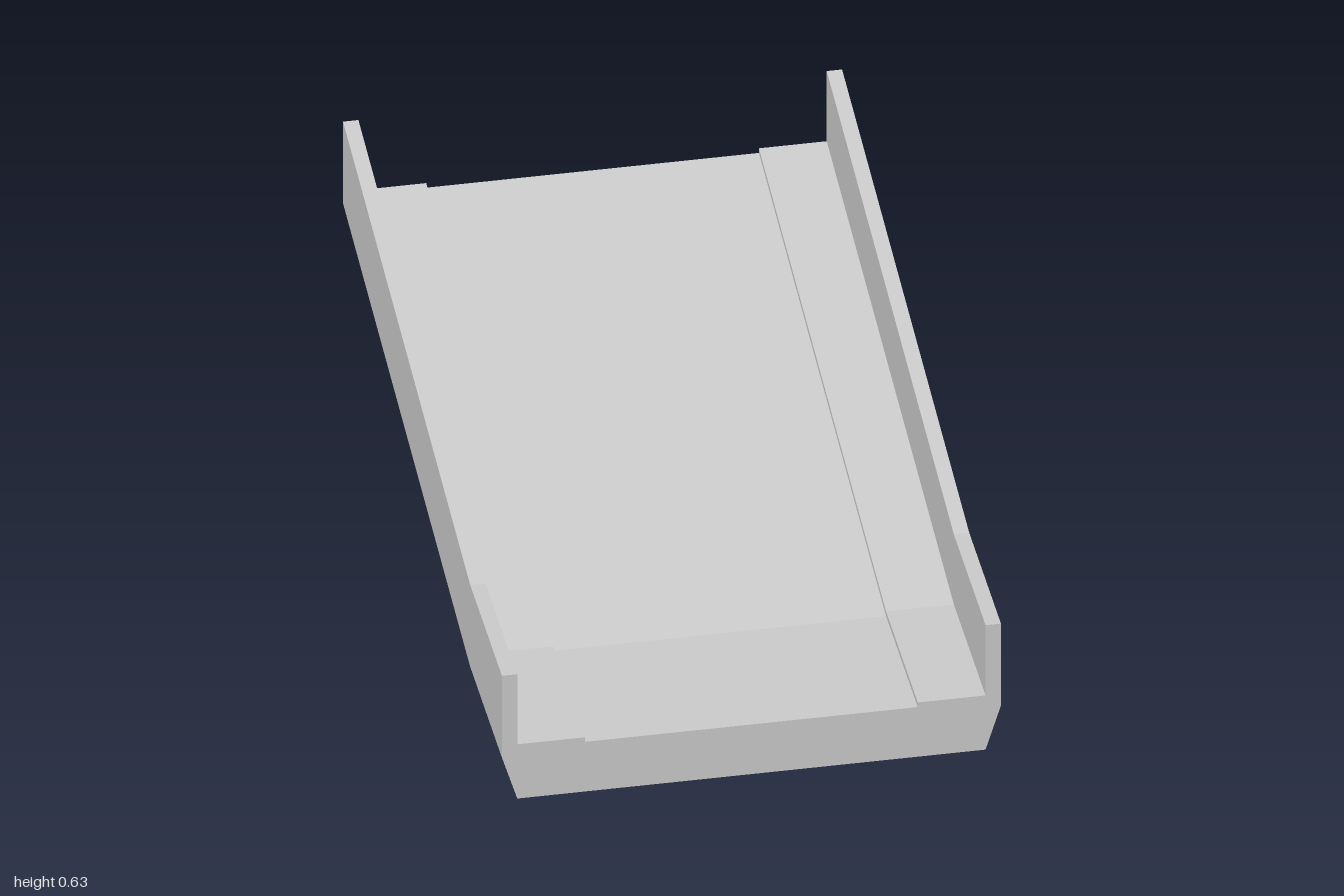
import * as THREE from 'three';

export function createModel() {
  const group = new THREE.Group();
  const material = new THREE.MeshStandardMaterial({ color: 0xcccccc, flatShading: true });

  // Right half of the channel section, from bottom corner round to the deck edge
  const half = [
    [0.563, 0], [0.6, 0.12], [0.6, 0.351], [0.563, 0.351],
    [0.563, 0.153], [0.4, 0.153], [0.4, 0.14],
  ];
  const mirrored = half.map(([x, y]) => [-x, y]).reverse();
  const section = new THREE.Shape([...half, ...mirrored].map(([x, y]) => new THREE.Vector2(x, y)));

  // Sweep along z in 0.4 steps, so that a row of vertices falls on the bend at z = 0.6
  const geometry = new THREE.ExtrudeGeometry(section, { depth: 2, steps: 5, bevelEnabled: false });
  geometry.translate(0, 0, -1);

  // Flat at the front, then a steady climb to the back
  const bend = 0.6, rise = 0.279;
  const pos = geometry.attributes.position;
  for (let i = 0; i < pos.count; i++) {
    const climb = Math.max(0, bend - pos.getZ(i)) / (bend + 1);
    pos.setY(i, pos.getY(i) + rise * climb);
  }
  geometry.computeVertexNormals();

  const ramp = new THREE.Mesh(geometry, material);
  ramp.name = 'rampWithKerbsAndSideWalls';
  group.add(ramp);
  return group;
}
